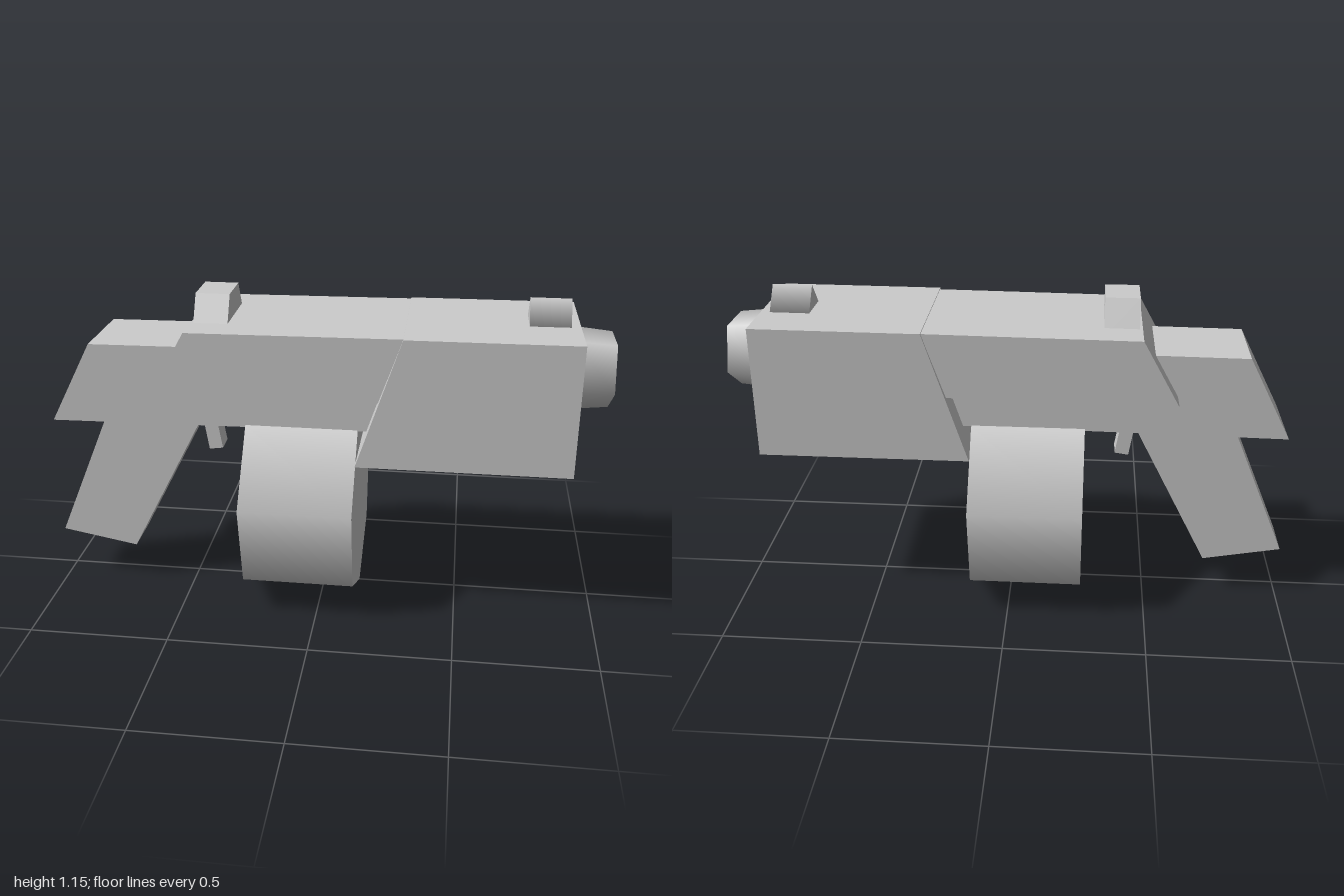
import * as THREE from 'three';

const material = new THREE.MeshStandardMaterial({ color: 0xcccccc });

export function createModel() {
  const model = new THREE.Group();
  model.name = 'blaster';

  const add = (name, geometry) => {
    const mesh = new THREE.Mesh(geometry, material);
    mesh.name = name;
    model.add(mesh);
    return mesh;
  };

  // Side outline extruded from z0 to z1
  const slab = (name, outline, z0, z1) => {
    const shape = new THREE.Shape(outline.map(([x, y]) => new THREE.Vector2(x, y)));
    const geometry = new THREE.ExtrudeGeometry(shape, { depth: z1 - z0, bevelEnabled: false });
    geometry.translate(0, 0, z0);
    return add(name, geometry);
  };

  // Low-sided prism along x with smooth sides; one corner points down (or up)
  const prism = (name, sides, rBack, rFront, x0, x1, y, z, pointUp = false, squash = 1) => {
    const start = pointUp ? -Math.PI / 2 : Math.PI / 2;
    const geometry = new THREE.CylinderGeometry(rFront, rBack, x1 - x0, sides, 1, false, start);
    geometry.rotateZ(-Math.PI / 2);
    const mesh = add(name, geometry);
    mesh.scale.y = squash;
    mesh.position.set((x0 + x1) / 2, y, z);
    return mesh;
  };

  // Body
  slab('frontHousing', [[0.135, 0.6], [0.877, 0.6], [0.877, 1.068], [0.29, 1.065]], -0.245, 0.265);
  slab('upperReceiver', [[-0.58, 0.825], [0.21, 0.835], [0.29, 1.063], [-0.45, 1.056]], -0.238, 0.252);
  slab('lowerReceiver', [[-0.972, 0.676], [0.2, 0.69], [0.25, 0.98], [-0.818, 0.97]], -0.145, 0.155);

  // Grip and trigger
  slab('grip', [[-1, 0.195], [-0.72, 0.143], [-0.43, 0.7], [-0.785, 0.7]], -0.08, 0.09);
  slab('trigger', [[-0.425, 0.543], [-0.375, 0.55], [-0.4, 0.7], [-0.45, 0.7]], -0.035, 0.045);

  // Drum magazine and muzzle
  prism('drumMagazine', 7, 0.364, 0.364, -0.265, 0.135, 0.364, 0);
  prism('muzzle', 5, 0.154, 0.139, 0.86, 1, 0.904, 0.005);

  // Sights: triangular at the front, trapezoid at the rear
  prism('frontSight', 3, 0.09, 0.09, 0.705, 0.845, 1.087, 0, true, 0.695);
  const rear = slab('rearSight', [[-0.14, 1.035], [0.14, 1.035], [0.075, 1.148], [-0.075, 1.148]], -0.06, 0.06);
  rear.rotation.y = Math.PI / 2;
  rear.position.set(-0.38, 0, 0.01);

  return model;
}
